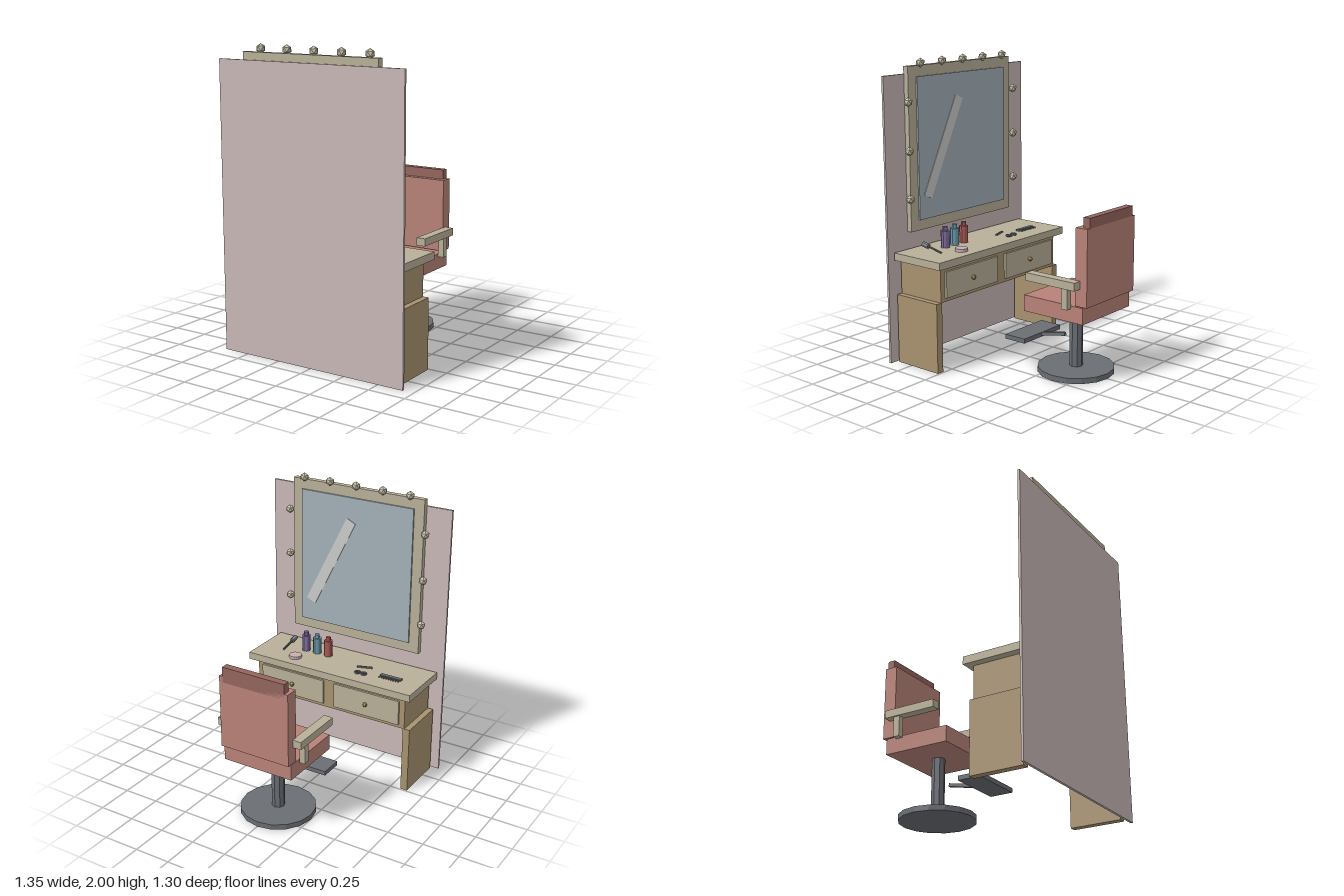
import * as THREE from 'three';

const mat = (color) => new THREE.MeshStandardMaterial({ color, flatShading: true });

export function createModel() {
  const root = new THREE.Group();
  const M = {
    wall: mat(0xc8b8b6), cream: mat(0xb8b098), wood: mat(0xa89270), glass: mat(0xa4b0b8),
    shine: mat(0xc4c6c8), bulb: mat(0xc8c0a8), knob: mat(0xa08850), leather: mat(0xb88278),
    darkLeather: mat(0x94655e), metal: mat(0x6a6e74), steel: mat(0x80868c), powder: mat(0xc8aeb2),
  };

  const add = (name, geo, material, x = 0, y = 0, z = 0, parent = root) => {
    const m = new THREE.Mesh(geo, material);
    m.name = name;
    m.position.set(x, y, z);
    parent.add(m);
    return m;
  };
  // box given by its [min, max] range on each axis
  const box = (name, material, [x0, x1], [y0, y1], [z0, z1], parent = root) =>
    add(name, new THREE.BoxGeometry(x1 - x0, y1 - y0, z1 - z0), material,
      (x0 + x1) / 2, (y0 + y1) / 2, (z0 + z1) / 2, parent);
  // upright cylinder standing on y0
  const cyl = (name, material, r, y0, y1, x, z, sides, parent = root) =>
    add(name, new THREE.CylinderGeometry(r, r, y1 - y0, sides), material, x, (y0 + y1) / 2, z, parent);
  const group = (name) => {
    const g = new THREE.Group();
    g.name = name;
    root.add(g);
    return g;
  };

  // wall panel and mirror
  box('wallPanel', M.wall, [-0.677, 0.677], [0, 1.9], [0.634, 0.65]);
  const mirror = group('mirror');
  box('mirrorFrame', M.cream, [-0.496, 0.496], [0.865, 1.95], [0.598, 0.638], mirror);
  box('mirrorGlass', M.glass, [-0.425, 0.425], [0.935, 1.88], [0.586, 0.6], mirror);
  add('mirrorShine', new THREE.BoxGeometry(0.075, 0.71, 0.006), M.shine, 0.192, 1.4, 0.5855, mirror)
    .rotation.z = 0.457;

  // light bulbs along the top and both sides
  const bulbGeo = new THREE.IcosahedronGeometry(0.031, 0);
  bulbGeo.rotateX(-Math.atan((1 + Math.sqrt(5)) / 2));
  for (let i = -2; i <= 2; i++) add('bulb', bulbGeo, M.bulb, i * 0.2, 1.969, 0.58, mirror);
  for (const s of [-1, 1])
    for (const y of [1.09, 1.407, 1.725]) add('bulb', bulbGeo, M.bulb, s * 0.517, y, 0.58, mirror);

  // dressing table
  const table = group('table');
  box('tableTop', M.cream, [-0.634, 0.634], [0.7, 0.75], [0.217, 0.622], table);
  box('drawerCase', M.wood, [-0.582, 0.582], [0.467, 0.7], [0.26, 0.615], table);
  for (const s of [-1, 1]) {
    add('sidePanel', new THREE.BoxGeometry(0.05, 0.467, 0.355), M.wood, s * 0.597, 0.2335, 0.4375, table);
    add('drawerFront', new THREE.BoxGeometry(0.5, 0.175, 0.018), M.cream, s * 0.292, 0.58, 0.254, table);
    add('drawerKnob', new THREE.SphereGeometry(0.016, 8, 6), M.knob, s * 0.292, 0.58, 0.236, table);
  }

  // bottles
  const items = group('tableItems');
  [[0.135, 0xa85a55], [0.225, 0x6a98ac], [0.315, 0x806a9c]].forEach(([x, color]) => {
    const m = mat(color);
    cyl('bottle', m, 0.03, 0.75, 0.865, x, 0.467, 10, items);
    cyl('bottleCap', m, 0.017, 0.865, 0.892, x, 0.467, 10, items);
  });

  // powder compact
  cyl('powderCompact', M.powder, 0.044, 0.75, 0.77, 0.315, 0.322, 20, items);

  // brush lying tilted
  const brush = group('brush');
  brush.position.set(0.45, 0.771, 0.455);
  brush.rotation.x = Math.PI / 2 - 0.2;
  add('brushHandle', new THREE.CylinderGeometry(0.007, 0.007, 0.16, 8), M.metal, 0, 0, 0, brush);
  add('brushHead', new THREE.CylinderGeometry(0.018, 0.018, 0.05, 8), M.steel, 0, 0.06, 0, brush);

  // comb
  box('combSpine', M.metal, [-0.488, -0.33], [0.75, 0.762], [0.368, 0.395], items);
  for (let i = 0; i < 9; i++)
    add('combTooth', new THREE.BoxGeometry(0.006, 0.008, 0.028), M.metal, -0.48 + i * 0.0178, 0.756, 0.356, items);

  // scissors: two finger rings and a blade
  for (const x of [-0.225, -0.178])
    add('scissorRing', new THREE.TorusGeometry(0.017, 0.007, 6, 12), M.metal, x, 0.757, 0.332, items)
      .rotation.x = Math.PI / 2;
  add('scissorBlade', new THREE.BoxGeometry(0.108, 0.01, 0.012), M.metal, -0.182, 0.757, 0.424, items)
    .rotation.y = 0.32;

  // chair base
  const chair = group('chair');
  cyl('chairBase', M.metal, 0.252, 0, 0.036, 0, -0.388, 16, chair);
  cyl('chairColumn', M.metal, 0.044, 0.036, 0.42, 0, -0.388, 8, chair);

  // seat, back and headrest
  box('seat', M.leather, [-0.253, 0.253], [0.42, 0.527], [-0.622, -0.157], chair);
  box('backrest', M.leather, [-0.253, 0.253], [0.533, 1.03], [-0.652, -0.564], chair);
  box('headrest', M.darkLeather, [-0.228, 0.228], [0.99, 1.095], [-0.652, -0.602], chair);

  // armrests
  for (const s of [-1, 1]) {
    add('armrest', new THREE.BoxGeometry(0.064, 0.052, 0.38), M.cream, s * 0.28, 0.672, -0.41, chair);
    add('armrestPost', new THREE.BoxGeometry(0.04, 0.14, 0.045), M.cream, s * 0.28, 0.58, -0.514, chair);
  }

  // footrest
  box('footrest', M.metal, [-0.19, 0.19], [0.17, 0.2], [-0.108, 0.053], chair);
  add('footrestArm', new THREE.BoxGeometry(0.02, 0.022, 0.2), M.metal, 0, 0.208, -0.2, chair)
    .rotation.x = 0.2;

  return root;
}
